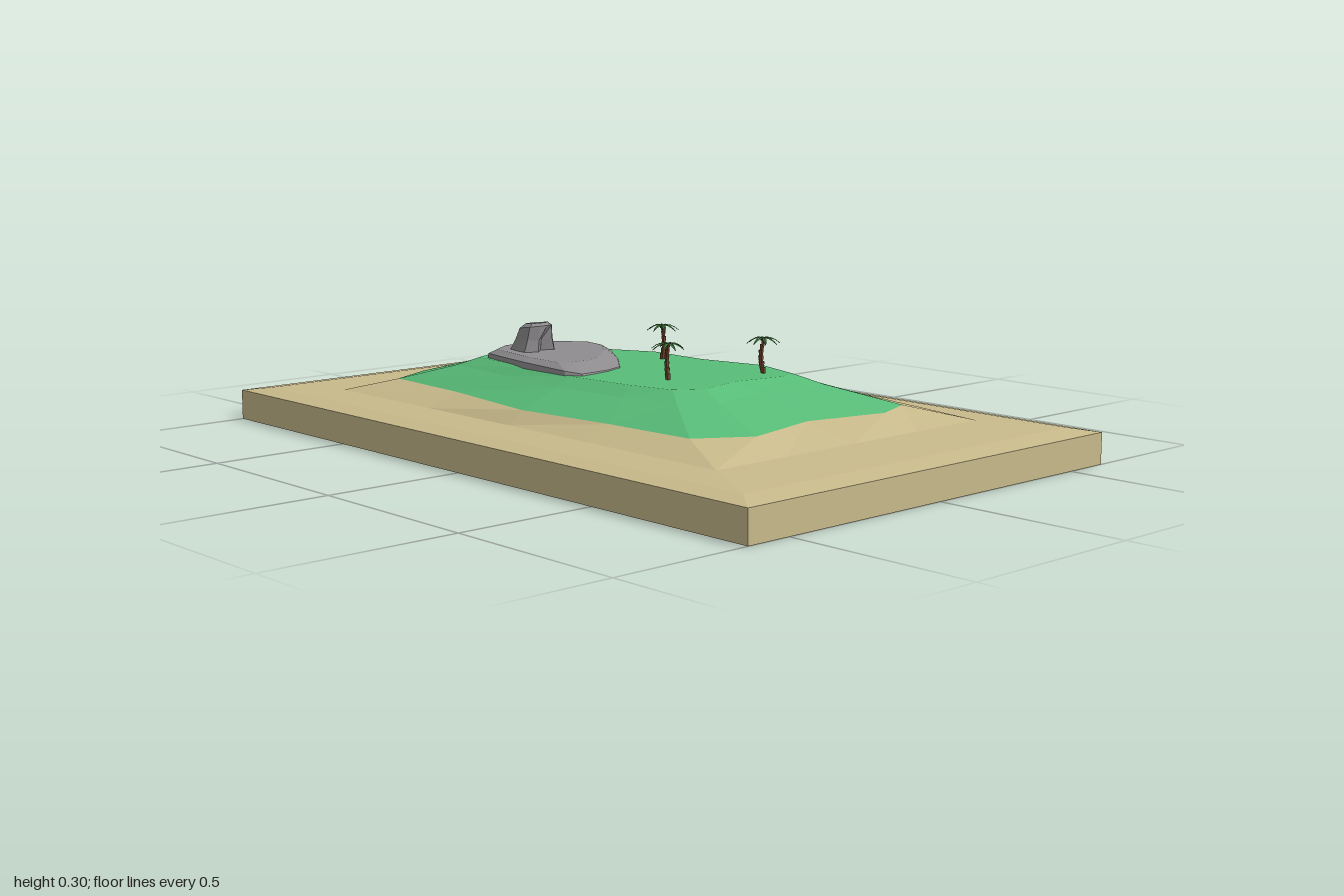
import * as THREE from 'three';

const material = (color) => new THREE.MeshStandardMaterial({ color, flatShading: true, side: THREE.DoubleSide });
const sandMat = material(0xc8ba8b);
const grassMat = material(0x58bc78);
const rockMat = material(0x8e8c8e);
const barkMat = material(0x70462f);
const leafMat = material(0x3f7a3c);

function addMesh(parent, name, geometry, mat) {
  const mesh = new THREE.Mesh(geometry, mat);
  mesh.name = name;
  parent.add(mesh);
  return mesh;
}

// Ring of [x, y, z] from [x, z] points; y is a number or a list
const ring = (points, y) => points.map(([x, z], i) => [x, Array.isArray(y) ? y[i] : y, z]);
const mix = (a, b, t) => a.map(([x, z], i) => [x + (b[i][0] - x) * t, z + (b[i][1] - z) * t]);

// Skin over matching rings, listed from the top down, with optional end caps
function loft(rings, capTop, capBottom) {
  const v = [];
  const n = rings[0].length;
  const centre = (r) => [0, 1, 2].map((k) => r.reduce((s, p) => s + p[k], 0) / n);
  const first = rings[0];
  const last = rings[rings.length - 1];
  for (let i = 0; i < n; i++) {
    const j = (i + 1) % n;
    for (let k = 0; k + 1 < rings.length; k++) {
      const a = rings[k], b = rings[k + 1];
      v.push(...a[i], ...a[j], ...b[j], ...a[i], ...b[j], ...b[i]);
    }
    if (capTop) v.push(...centre(first), ...first[j], ...first[i]);
    if (capBottom) v.push(...centre(last), ...last[i], ...last[j]);
  }
  const geometry = new THREE.BufferGeometry();
  geometry.setAttribute('position', new THREE.Float32BufferAttribute(v, 3));
  geometry.computeVertexNormals();
  return geometry;
}

// Plan outlines, running from the back left corner towards +x
const plateau = [
  [-0.23, -0.42], [-0.14, -0.46], [0.01, -0.43], [0.12, -0.31], [0.19, -0.17],
  [0.19, 0.01], [0.235, 0.2], [0.19, 0.355], [0.14, 0.365], [0, 0.34],
  [-0.14, 0.37], [-0.21, 0.325], [-0.24, 0.2], [-0.26, 0], [-0.25, -0.2],
];
const shore = [
  [-0.355, -0.625], [-0.225, -0.69], [0.03, -0.63], [0.26, -0.43], [0.33, -0.27],
  [0.335, 0.04], [0.405, 0.38], [0.35, 0.585], [0.23, 0.63], [0, 0.58],
  [-0.23, 0.635], [-0.365, 0.55], [-0.38, 0.285], [-0.415, -0.01], [-0.37, -0.34],
];
const beach = [
  [-0.46, -0.735], [-0.22, -0.735], [0.03, -0.735], [0.46, -0.735], [0.46, -0.3],
  [0.46, 0.04], [0.46, 0.38], [0.46, 0.735], [0.23, 0.735], [0, 0.735],
  [-0.23, 0.735], [-0.46, 0.735], [-0.46, 0.285], [-0.46, -0.01], [-0.46, -0.34],
];

function makePalm(x, z, turn) {
  const palm = new THREE.Group();
  palm.name = 'palmTree';
  palm.position.set(x, 0.2, z);
  palm.rotation.y = turn;

  // Trunk of stacked, flared segments with a slight bend
  const bend = (t) => 0.006 * Math.sin(t * Math.PI) - 0.002;
  for (let i = 0; i < 6; i++) {
    const geometry = new THREE.CylinderGeometry(0.0085 - i * 0.0005, 0.0065 - i * 0.0005, 0.0165, 6);
    const segment = addMesh(palm, 'trunkSegment', geometry, barkMat);
    segment.position.set(bend(i / 5), 0.006 + i * 0.0152, 0);
    segment.rotation.z = (i - 2.5) * 0.06;
  }

  // Eight drooping fronds, wide in the middle and pointed at the tip
  for (let i = 0; i < 8; i++) {
    const geometry = new THREE.PlaneGeometry(0.043, 0.01, 4, 2);
    geometry.rotateX(-Math.PI / 2).translate(0.0215, 0, 0);
    const p = geometry.attributes.position;
    for (let k = 0; k < p.count; k++) {
      const t = p.getX(k) / 0.043;
      const side = p.getZ(k) / 0.005;
      p.setZ(k, side * 0.0052 * Math.sin(Math.PI * (0.12 + 0.86 * t)));
      p.setY(k, 0.014 * t - 0.027 * t * t - Math.abs(side) * 0.002);
    }
    geometry.computeVertexNormals();
    const frond = addMesh(palm, 'frond', geometry, leafMat);
    frond.position.set(-0.002, 0.092, 0);
    frond.rotation.y = (i * Math.PI) / 4;
  }
  return palm;
}

function makeRock() {
  const rock = new THREE.Group();
  rock.name = 'rockOutcrop';

  // Broad slab, steep at the back and sloping down to the front
  const foot = [
    [-0.225, -0.4], [-0.145, -0.448], [0.015, -0.43], [0.11, -0.32], [0.12, -0.265], [0.03, -0.13],
    [-0.065, -0.005], [-0.13, 0.02], [-0.245, 0.04], [-0.267, -0.01], [-0.26, -0.2],
  ];
  const top = [
    [-0.205, -0.375], [-0.14, -0.418], [0, -0.405], [0.07, -0.32], [0.06, -0.25], [0, -0.17],
    [-0.1, -0.08], [-0.15, -0.06], [-0.21, -0.06], [-0.235, -0.08], [-0.232, -0.2],
  ];
  const rimY = [0.212, 0.212, 0.211, 0.206, 0.203, 0.203, 0.203, 0.203, 0.205, 0.21, 0.213];
  const slab = loft([ring(top, 0.224), ring(mix(foot, top, 0.25), rimY), ring(foot, 0.165)], true, false);
  addMesh(rock, 'rockSlab', slab, rockMat);

  // Jagged stump: tapering rings with a hollow in the front face
  const stumpRing = (radius, y, hollow, slant) => Array.from({ length: 10 }, (_, i) => {
    const a = -0.75 * Math.PI + (i * Math.PI) / 5;
    const r = radius * (i % 2 ? 0.9 : 1.06) * (i === 6 ? hollow : 1);
    const z = Math.sin(a) * r;
    return [-0.132 + Math.cos(a) * r, y + z * slant, -0.307 + z + (y - 0.22) * 0.2];
  });
  const stump = loft([
    stumpRing(0.03, 0.298, 0.9, 0.1), stumpRing(0.044, 0.288, 0.8, 0.15),
    stumpRing(0.05, 0.255, 0.4, 0), stumpRing(0.062, 0.22, 0.35, 0),
  ], true, false);
  addMesh(rock, 'rockStump', stump, rockMat);
  return rock;
}

export function createModel() {
  const island = new THREE.Group();
  island.name = 'island';

  // Sand: banks up from a thick rectangular slab to the edge of the grass
  const scaled = (halfX, halfZ) => beach.map(([x, z]) => [(x * halfX) / 0.46, (z * halfZ) / 0.735]);
  const edge = scaled(0.625, 1);
  const sand = loft([
    ring(shore, 0.13), ring(beach, 0.097), ring(scaled(0.57, 0.93), 0.092), ring(edge, 0.082), ring(edge, 0),
  ], false, true);
  addMesh(island, 'sandBase', sand, sandMat);

  // Grass: flat plateau, short steep shoulder, then a gentler slope
  const grass = loft([
    ring(plateau, 0.2), ring(mix(plateau, shore, 0.28), 0.176), ring(shore, 0.13),
  ], true, false);
  addMesh(island, 'grassHill', grass, grassMat);

  island.add(makeRock());
  [[0.12, -0.065, 0.2], [-0.11, 0.2, 1.3], [0.14, 0.29, 2.5]].forEach((p) => island.add(makePalm(...p)));
  return island;
}
